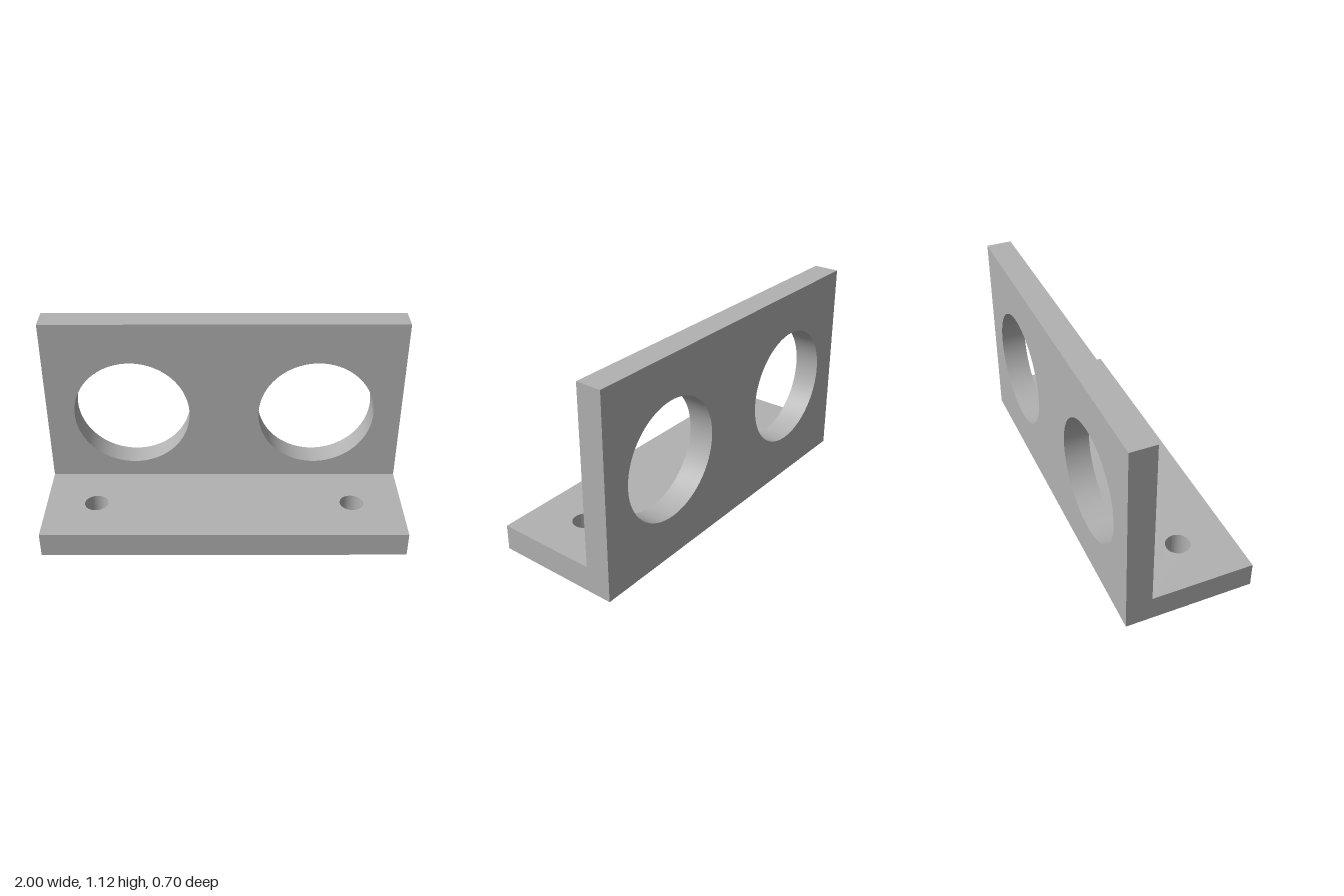
import * as THREE from 'three';
import { toCreasedNormals } from 'three/addons/utils/BufferGeometryUtils.js';

const HALF_WIDTH = 1;
const THICKNESS = 0.14;
const HALF_DEPTH = 0.35;
const HEIGHT = 1.12;

// Rectangular plate with a mirrored pair of round holes, extruded along +z
function drilledPlate(y0, y1, holeX, holeY, radius) {
  const shape = new THREE.Shape([
    new THREE.Vector2(-HALF_WIDTH, y0),
    new THREE.Vector2(HALF_WIDTH, y0),
    new THREE.Vector2(HALF_WIDTH, y1),
    new THREE.Vector2(-HALF_WIDTH, y1),
  ]);
  for (const side of [-1, 1]) {
    shape.holes.push(new THREE.Path().absarc(side * holeX, holeY, radius, 0, Math.PI * 2, true));
  }
  const geometry = new THREE.ExtrudeGeometry(shape, {
    depth: THICKNESS, bevelEnabled: false, curveSegments: 64,
  });
  return toCreasedNormals(geometry, Math.PI / 6);
}

export function createModel() {
  const model = new THREE.Group();
  model.name = 'angleBracket';
  const grey = new THREE.MeshStandardMaterial({ color: 0xb2b2b2 });
  grey.name = 'grey';

  // Upright plate with two large openings
  const upright = new THREE.Mesh(drilledPlate(0, HEIGHT, 0.52, 0.56, 0.325), grey);
  upright.name = 'uprightPlate';
  upright.position.z = -HALF_DEPTH;

  // Base flange with two screw holes, laid flat in front of the upright
  const flange = drilledPlate(-HALF_DEPTH, HALF_DEPTH - THICKNESS, 0.72, -0.067, 0.066);
  const base = new THREE.Mesh(flange.rotateX(-Math.PI / 2), grey);
  base.name = 'baseFlange';

  model.add(upright, base);
  return model;
}
